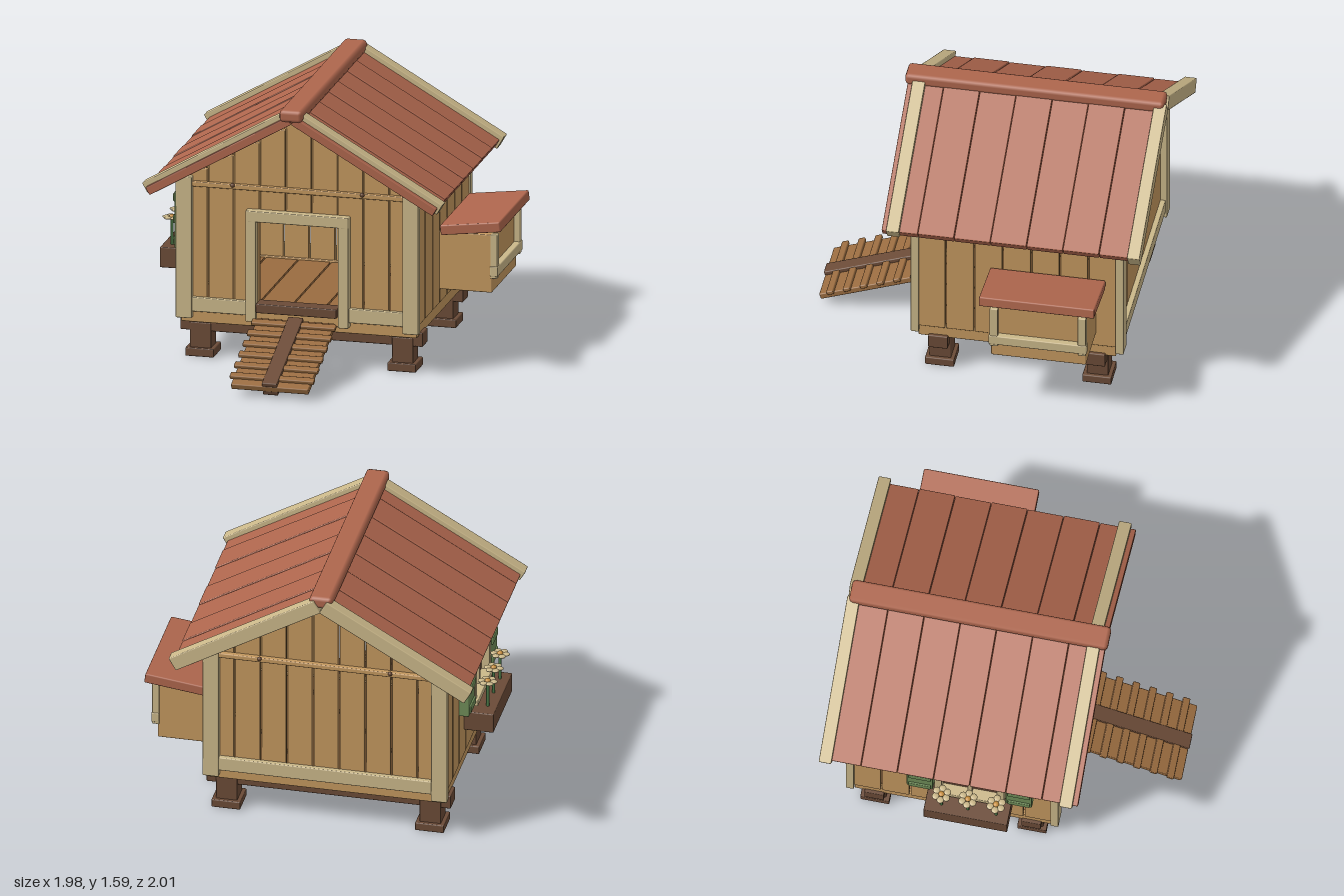
import * as THREE from 'three';
import { RoundedBoxGeometry } from 'three/addons/geometries/RoundedBoxGeometry.js';

const mat = (name, color) => new THREE.MeshStandardMaterial({ name, color });

export function createModel() {
  const wood = mat('wallWood', 0xc4985f);
  const cream = mat('creamTrim', 0xcbb88a);
  const red = mat('redRoof', 0xae664d);
  const dark = mat('darkBrown', 0x6b4b37);
  const brown = mat('rampBrown', 0x9a6c40);
  const green = mat('shutterGreen', 0x6f8d58);
  const stemGreen = mat('stemGreen', 0x4c7a48);
  const orange = mat('flowerCentre', 0xc9903f);

  const model = new THREE.Group();
  model.name = 'henHouse';
  const CX = -0.1; // middle of the house
  const PITCH = Math.PI / 6;
  const APEX = 1.5;
  const roofAt = (d) => APEX - Math.abs(d) * Math.tan(PITCH);

  const add = (parent, name, geometry, material, x = 0, y = 0, z = 0) => {
    const m = new THREE.Mesh(geometry, material);
    m.name = name;
    m.position.set(x, y, z);
    parent.add(m);
    return m;
  };
  // Box given by its limits on each axis
  const box = (parent, name, material, x0, x1, y0, y1, z0, z1, bevel = 0.006) => {
    const w = x1 - x0, h = y1 - y0, d = z1 - z0;
    const g = bevel ? new RoundedBoxGeometry(w, h, d, 1, Math.min(bevel, Math.min(w, h, d) / 3))
      : new THREE.BoxGeometry(w, h, d);
    return add(parent, name, g, material, (x0 + x1) / 2, (y0 + y1) / 2, (z0 + z1) / 2);
  };
  const group = (name, parent = model) => {
    const g = new THREE.Group();
    g.name = name;
    parent.add(g);
    return g;
  };

  // Feet, legs and cross beams
  const base = group('base');
  for (const z of [0.21, -0.71]) {
    box(base, 'beam', dark, -0.82, 0.62, 0.15, 0.235, z - 0.055, z + 0.06);
    for (const x of [-0.7, 0.5]) {
      box(base, 'foot', dark, x - 0.085, x + 0.085, 0, 0.05, z - 0.085, z + 0.085);
      box(base, 'leg', dark, x - 0.063, x + 0.063, 0.045, 0.2, z - 0.063, z + 0.063);
    }
  }

  // Floor with planks, surrounded by a sill
  box(base, 'floor', dark, -0.79, 0.59, 0.222, 0.27, -0.8, 0.3);
  for (let i = 0; i < 7; i++) {
    const x = -0.78 + i * 0.195;
    box(base, 'floorPlank', brown, x, x + 0.185, 0.265, 0.29, -0.8, 0.3, 0);
  }
  for (const [z0, z1] of [[0.295, 0.33], [-0.825, -0.79]]) {
    box(base, 'endSill', wood, -0.8, 0.6, 0.218, 0.3, z0, z1);
  }
  for (const x of [-0.8, 0.57]) box(base, 'sideSill', wood, x, x + 0.03, 0.218, 0.3, -0.82, 0.33);

  // Gable walls of upright boards, leaving the doorway open in the front
  const walls = group('walls');
  for (const front of [true, false]) {
    const z0 = front ? 0.3 : -0.835, z1 = z0 + 0.035;
    for (let k = -4; k <= 4; k++) {
      const x = CX + k * 0.154;
      const bottom = front && Math.abs(k) < 2 ? 0.87 : 0.29;
      box(walls, 'gableBoard', wood, x - 0.073, x + 0.073, bottom, roofAt(k * 0.154), z0, z1);
    }
    // Trim stands proud of the boards on the outer side
    const t0 = front ? 0.33 : -0.865, t1 = front ? 0.362 : -0.83;
    box(walls, 'batten', wood, -0.73, 0.53, 1.04, 1.07, t0, t1);
    for (const x of [-0.485, 0.285]) {
      add(walls, 'peg', new THREE.SphereGeometry(0.013, 10, 8), dark, x, 1.065, front ? t1 : t0);
    }
    if (front) {
      box(walls, 'bottomTrim', cream, -0.73, -0.4, 0.29, 0.375, t0, t1);
      box(walls, 'bottomTrim', cream, 0.2, 0.53, 0.29, 0.375, t0, t1);
    } else box(walls, 'bottomTrim', cream, -0.73, 0.53, 0.29, 0.375, t0, t1);
    const p0 = front ? 0.325 : -0.873;
    for (const x of [-0.822, 0.525]) box(walls, 'cornerPost', cream, x, x + 0.095, 0.25, 1.1, p0, p0 + 0.048);
  }

  // Side walls
  for (const x of [-0.81, 0.575]) {
    for (let i = 0; i < 7; i++) {
      const z = 0.332 - i * 0.167;
      box(walls, 'sideBoard', wood, x, x + 0.035, 0.29, 1.09, z - 0.159, z);
    }
  }

  // Doorway frame and threshold
  const door = group('doorway');
  for (const x of [-0.405, 0.145]) box(door, 'doorJamb', cream, x, x + 0.062, 0.26, 0.925, 0.325, 0.385);
  box(door, 'doorHead', cream, -0.404, 0.206, 0.86, 0.925, 0.326, 0.386);
  box(door, 'doorSill', wood, -0.35, 0.15, 0.26, 0.33, 0.3, 0.36);
  box(door, 'threshold', dark, -0.34, 0.14, 0.32, 0.375, 0.3, 0.4);

  // Roof slopes, each a tilted group with its underside on local y = 0
  const roof = group('roof');
  for (const s of [1, -1]) {
    const slope = group('roofSlope', roof);
    slope.position.set(CX, APEX, 0);
    slope.rotation.z = -s * PITCH;
    const plank = (name, m, len, y0, y1, z0, z1) =>
      box(slope, name, m, Math.min(0, s * len), Math.max(0, s * len), y0, y1, z0, z1);
    for (let i = 0; i < 7; i++) {
      const z = 0.515 - i * 0.212;
      plank('roofBoard', red, 0.97, 0, 0.05 + (i % 2) * 0.004, Math.max(z - 0.21, -0.94), z);
    }
    plank('frontRoofTrim', cream, 0.985, 0.01, 0.079, 0.41, 0.485);
    plank('backRoofTrim', cream, 0.985, -0.008, 0.079, -0.998, -0.925);
  }
  box(roof, 'ridgeCap', red, CX - 0.068, CX + 0.068, 1.515, 1.586, -0.985, 0.53, 0.022);

  // Nest box with its tilted lid and outer frame
  const nest = group('nestBox');
  box(nest, 'nestBody', wood, 0.6, 0.92, 0.375, 0.722, -0.71, -0.155);
  for (const z of [-0.715, -0.2]) box(nest, 'nestPost', cream, 0.91, 0.953, 0.46, 0.725, z, z + 0.048);
  box(nest, 'nestRail', cream, 0.91, 0.957, 0.475, 0.535, -0.72, -0.145);
  const lid = box(nest, 'nestLid', red, 0.627, 0.985, 0.738, 0.798, -0.77, -0.095, 0.008);
  lid.rotation.z = 0.125;

  // Window with cross bars and shutters
  const win = group('window');
  const WZ = -0.14;
  box(win, 'windowPane', dark, -0.822, -0.813, 0.62, 0.96, WZ - 0.18, WZ + 0.18, 0);
  for (const s of [1, -1]) {
    const z = WZ + s * 0.182;
    box(win, 'windowJamb', cream, -0.87, -0.808, 0.6, 0.98, z - 0.022, z + 0.022);
    const sz = WZ + s * 0.29;
    box(win, 'shutter', green, -0.868, -0.808, 0.62, 0.96, sz - 0.077, sz + 0.077);
    for (const y of [0.66, 0.79, 0.92]) {
      box(win, 'shutterSlat', green, -0.878, -0.86, y - 0.025, y + 0.025, sz - 0.065, sz + 0.065);
    }
  }
  for (const y of [0.6, 0.94]) box(win, 'windowRail', cream, -0.885, -0.808, y, y + 0.04, WZ - 0.205, WZ + 0.205);
  box(win, 'windowBar', cream, -0.85, -0.812, 0.62, 0.96, WZ - 0.014, WZ + 0.014);
  box(win, 'windowCrossBar', cream, -0.848, -0.812, 0.776, 0.804, WZ - 0.18, WZ + 0.18);

  // Flower box with three blooms
  const flowers = group('flowerBox');
  box(flowers, 'planter', dark, -0.985, -0.81, 0.46, 0.582, -0.385, 0.105);
  for (const z of [-0.29, -0.135, 0.03]) {
    add(flowers, 'stem', new THREE.CylinderGeometry(0.009, 0.009, 0.18, 8), stemGreen, -0.93, 0.655, z);
    for (let i = 0; i < 6; i++) {
      const a = i * Math.PI / 3;
      const petal = add(flowers, 'petal', new THREE.SphereGeometry(0.022, 10, 8), cream,
        -0.93 + Math.cos(a) * 0.036, 0.746, z + Math.sin(a) * 0.036);
      petal.scale.y = 0.35;
    }
    add(flowers, 'flowerCentre', new THREE.SphereGeometry(0.018, 10, 8), orange, -0.93, 0.75, z).scale.y = 0.7;
  }

  // Ramp running down from the door
  const ramp = group('ramp');
  ramp.position.set(CX, 0.164, 0.69);
  ramp.rotation.x = Math.PI / 9;
  box(ramp, 'rampBoard', brown, -0.23, 0.23, -0.018, 0.018, -0.325, 0.325);
  box(ramp, 'rampTopStrip', dark, -0.045, 0.045, 0.015, 0.042, -0.325, 0.325);
  box(ramp, 'rampUnderStrip', dark, -0.045, 0.045, -0.045, -0.015, -0.32, 0.32);
  for (let i = 0; i < 6; i++) {
    const z = 0.25 - i * 0.104;
    box(ramp, 'cleat', brown, -0.25, 0.25, 0.012, 0.037, z - 0.021, z + 0.021);
  }
  return model;
}
